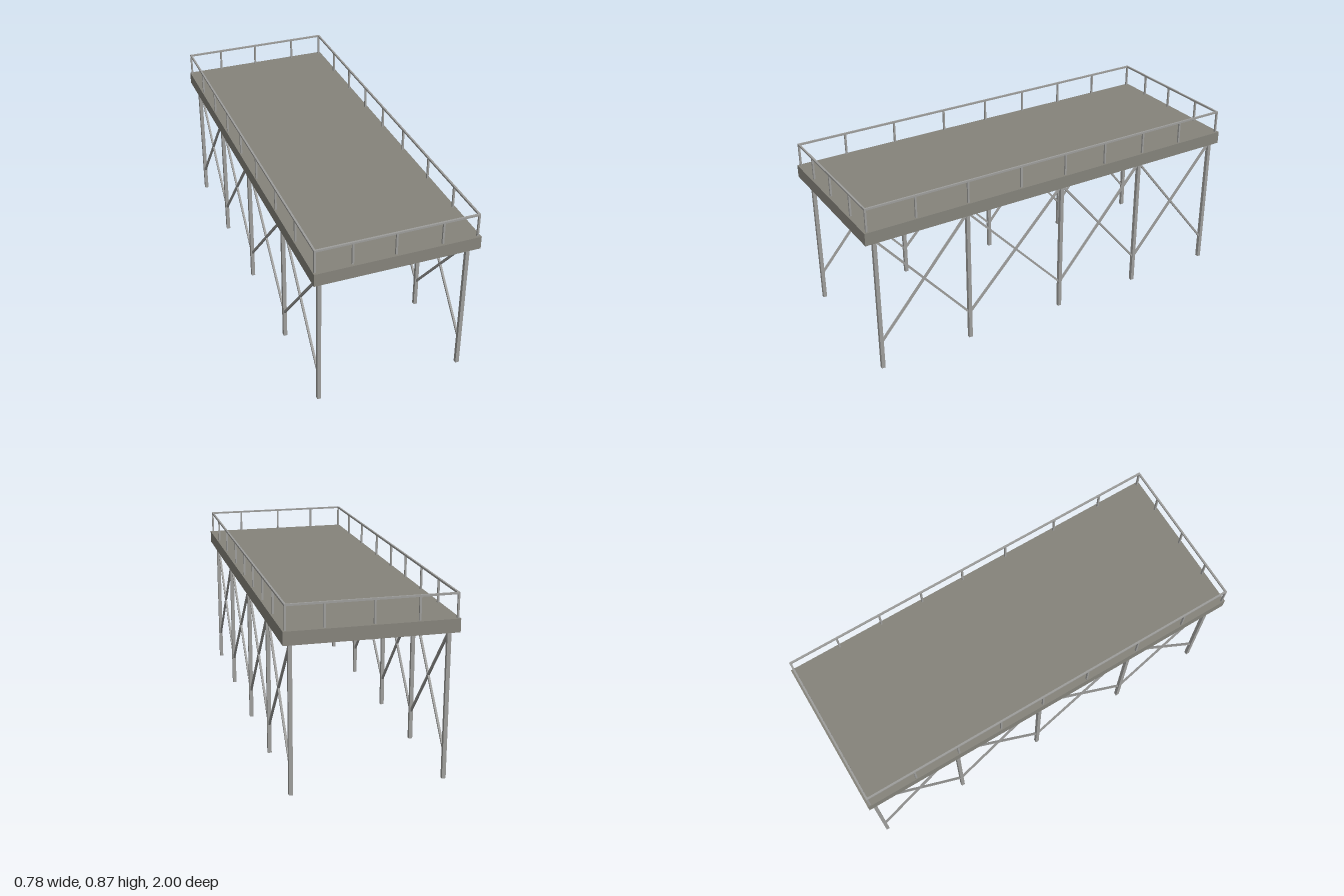
import * as THREE from 'three';

export function createModel() {
  const model = new THREE.Group();
  model.name = 'raisedPlatform';
  const deckGrey = new THREE.MeshStandardMaterial({ name: 'deckGrey', color: 0x85837b });
  const steelGrey = new THREE.MeshStandardMaterial({ name: 'steelGrey', color: 0x9d9d9b });

  const box = (name, size, pos, material = steelGrey) => {
    const mesh = new THREE.Mesh(new THREE.BoxGeometry(...size), material);
    mesh.name = name;
    mesh.position.set(...pos);
    model.add(mesh);
    return mesh;
  };

  // Deck slab
  const deckTop = 0.755, deckBottom = 0.693;
  box('deck', [0.78, deckTop - deckBottom, 2], [0, (deckTop + deckBottom) / 2, 0], deckGrey);

  // Legs and cross bracing along both long sides
  const legZ = [0.945, 0.475, -0.045, -0.51, -0.97];
  const brace = (x, y1, z1, y2, z2) => {
    const length = Math.hypot(y2 - y1, z2 - z1);
    const mesh = box('crossBrace', [0.01, 0.01, length], [x, (y1 + y2) / 2, (z1 + z2) / 2]);
    mesh.rotation.x = -Math.atan2(y2 - y1, z2 - z1);
  };
  for (const x of [-0.348, 0.355]) {
    legZ.forEach((z, i) => {
      box('leg', [0.018, deckBottom, 0.018], [x, deckBottom / 2, z]);
      if (i === 0) return;
      const front = legZ[i - 1];
      brace(x, 0.69, front, i === 4 ? 0.12 : 0.14, z);
      brace(x, 0.14, front, 0.69, z);
    });
  }

  // Guard rail: top bars, then posts
  const railTop = 0.869, bar = 0.009;
  const left = 0.377, right = -0.381, end = 0.985;
  const railY = railTop - bar / 2;
  const postHeight = railTop - bar - deckTop;
  const post = (x, z) => box('railPost', [bar, postHeight, bar], [x, deckTop + postHeight / 2, z]);

  for (const x of [left, right]) {
    box('sideRail', [bar, bar, 2 * end + bar], [x, railY, 0]);
    for (const z of [end, 0.745, 0.48, 0.197, -0.05, -0.28, -0.51, -0.74, -end]) post(x, z);
  }
  for (const z of [end, -end]) {
    box('endRail', [left - right - bar, bar, bar], [(left + right) / 2, railY, z]);
    for (const x of [-0.21, -0.01, 0.209]) post(x, z);
  }

  return model;
}
